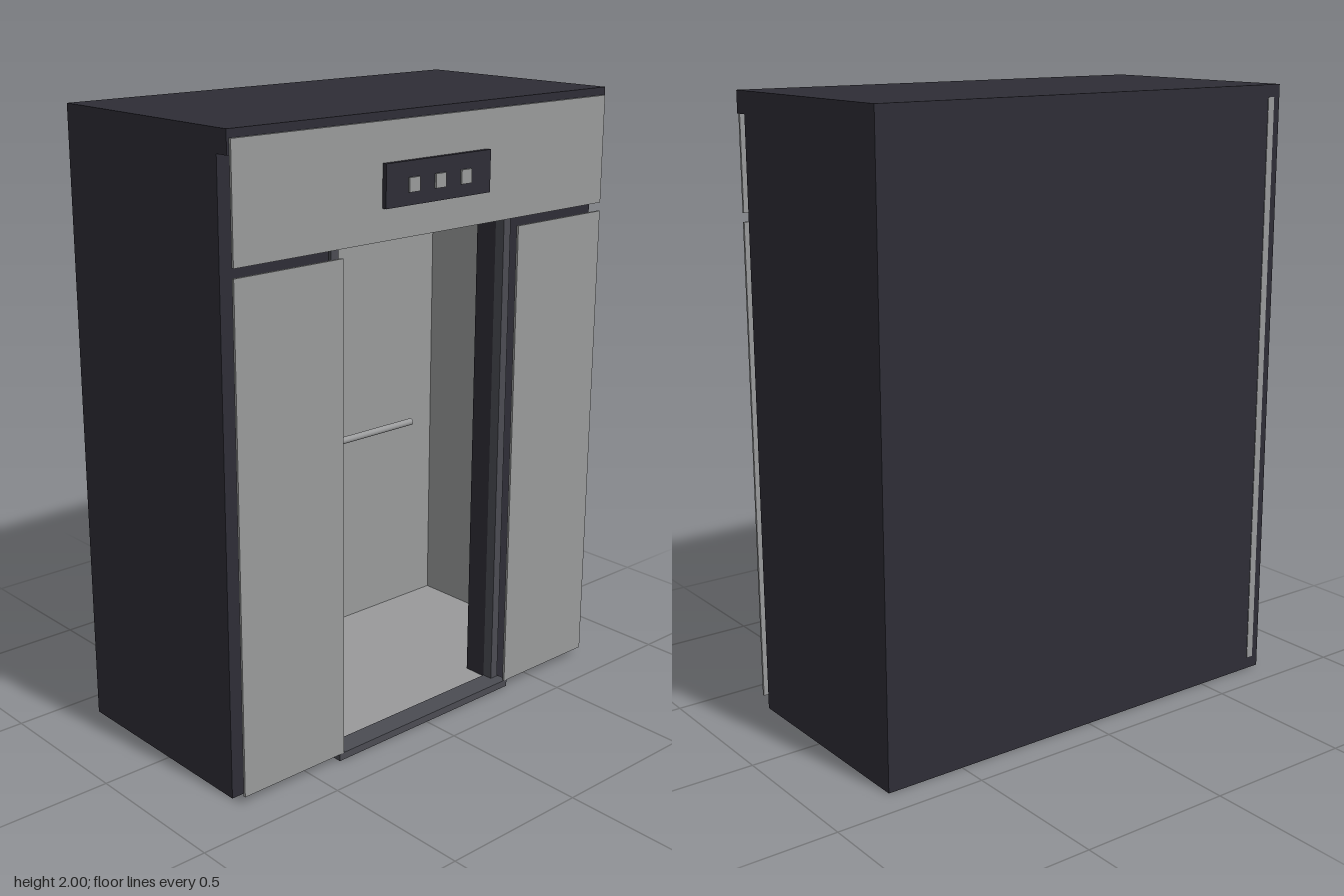
import * as THREE from 'three';

const steel = new THREE.MeshStandardMaterial({ color: 0x999a9b });
steel.name = 'brushed steel grey';
const dark = new THREE.MeshStandardMaterial({ color: 0x2e2d36 });
dark.name = 'dark charcoal';
const slate = new THREE.MeshStandardMaterial({ color: 0x4b4c53 });
slate.name = 'slate trim';

// Box given by its minimum and maximum along each axis
function box(parent, name, material, [x0, x1], [y0, y1], [z0, z1]) {
  const mesh = new THREE.Mesh(new THREE.BoxGeometry(x1 - x0, y1 - y0, z1 - z0), material);
  mesh.position.set((x0 + x1) / 2, (y0 + y1) / 2, (z0 + z1) / 2);
  mesh.name = name;
  parent.add(mesh);
  return mesh;
}

// Same box on both sides of x = 0
function pair(parent, name, material, [x0, x1], y, z) {
  box(parent, name + 'Left', material, [x0, x1], y, z);
  box(parent, name + 'Right', material, [-x1, -x0], y, z);
}

export function createModel() {
  const model = new THREE.Group();
  model.name = 'elevatorCabin';

  // Outer shell
  const shell = new THREE.Group();
  shell.name = 'shell';
  model.add(shell);
  box(shell, 'backWall', dark, [-0.765, 0.765], [0, 1.93], [-0.4, -0.385]);
  pair(shell, 'sideWall', dark, [0.745, 0.765], [0, 1.93], [-0.385, 0.325]);
  box(shell, 'roof', dark, [-0.765, 0.765], [1.93, 2], [-0.4, 0.37]);
  pair(shell, 'frontWall', dark, [0.36, 0.745], [0, 1.93], [0.22, 0.325]);
  box(shell, 'frontLintel', dark, [-0.36, 0.36], [1.65, 1.93], [0.22, 0.325]);
  box(shell, 'backSeam', steel, [-0.74, -0.715], [0.04, 1.96], [-0.402, -0.398]);

  // Cabin lining
  const lining = new THREE.Group();
  lining.name = 'lining';
  model.add(lining);
  box(lining, 'floor', steel, [-0.745, 0.745], [0.004, 0.02], [-0.385, 0.22]);
  box(lining, 'floorFront', steel, [-0.345, 0.345], [0.004, 0.02], [0.22, 0.3]);
  box(lining, 'undersidePlate', steel, [-0.74, 0.74], [0.001, 0.004], [-0.38, 0.305]);
  box(lining, 'backLining', steel, [-0.745, 0.745], [0.02, 1.93], [-0.385, -0.378]);
  pair(lining, 'sideLining', steel, [0.737, 0.745], [0.02, 1.93], [-0.378, 0.22]);
  box(lining, 'ceiling', steel, [-0.737, 0.737], [1.92, 1.93], [-0.378, 0.22]);

  // Handrail on the back wall
  const rail = new THREE.Mesh(new THREE.CylinderGeometry(0.0125, 0.0125, 1.2, 20), steel);
  rail.name = 'handrail';
  rail.rotation.z = Math.PI / 2;
  rail.position.set(0, 0.733, -0.34);
  model.add(rail);

  // Doorway trim and sill
  const doorway = new THREE.Group();
  doorway.name = 'doorway';
  model.add(doorway);
  pair(doorway, 'jambTrim', slate, [0.345, 0.375], [0.02, 1.65], [0.3, 0.335]);
  pair(doorway, 'jambLining', dark, [0.345, 0.36], [0.02, 1.65], [0.22, 0.3]);
  box(doorway, 'headTrim', slate, [-0.345, 0.345], [1.625, 1.65], [0.22, 0.335]);
  box(doorway, 'sill', slate, [-0.38, 0.38], [0, 0.024], [0.3, 0.375]);

  // Front cladding panels, standing clear of the wall
  const cladding = new THREE.Group();
  cladding.name = 'cladding';
  model.add(cladding);
  box(cladding, 'headerPanel', steel, [-0.757, 0.757], [1.628, 1.975], [0.37, 0.378]);
  pair(cladding, 'sidePanel', steel, [0.365, 0.757], [0.025, 1.6], [0.37, 0.378]);

  // Floor display with three lit squares
  const display = new THREE.Group();
  display.name = 'display';
  model.add(display);
  box(display, 'displayPlate', dark, [-0.215, 0.215], [1.725, 1.855], [0.378, 0.393]);
  for (const x of [-0.107, 0, 0.107]) {
    box(display, 'indicator', steel, [x - 0.021, x + 0.021], [1.764, 1.807], [0.393, 0.4]);
  }

  return model;
}
